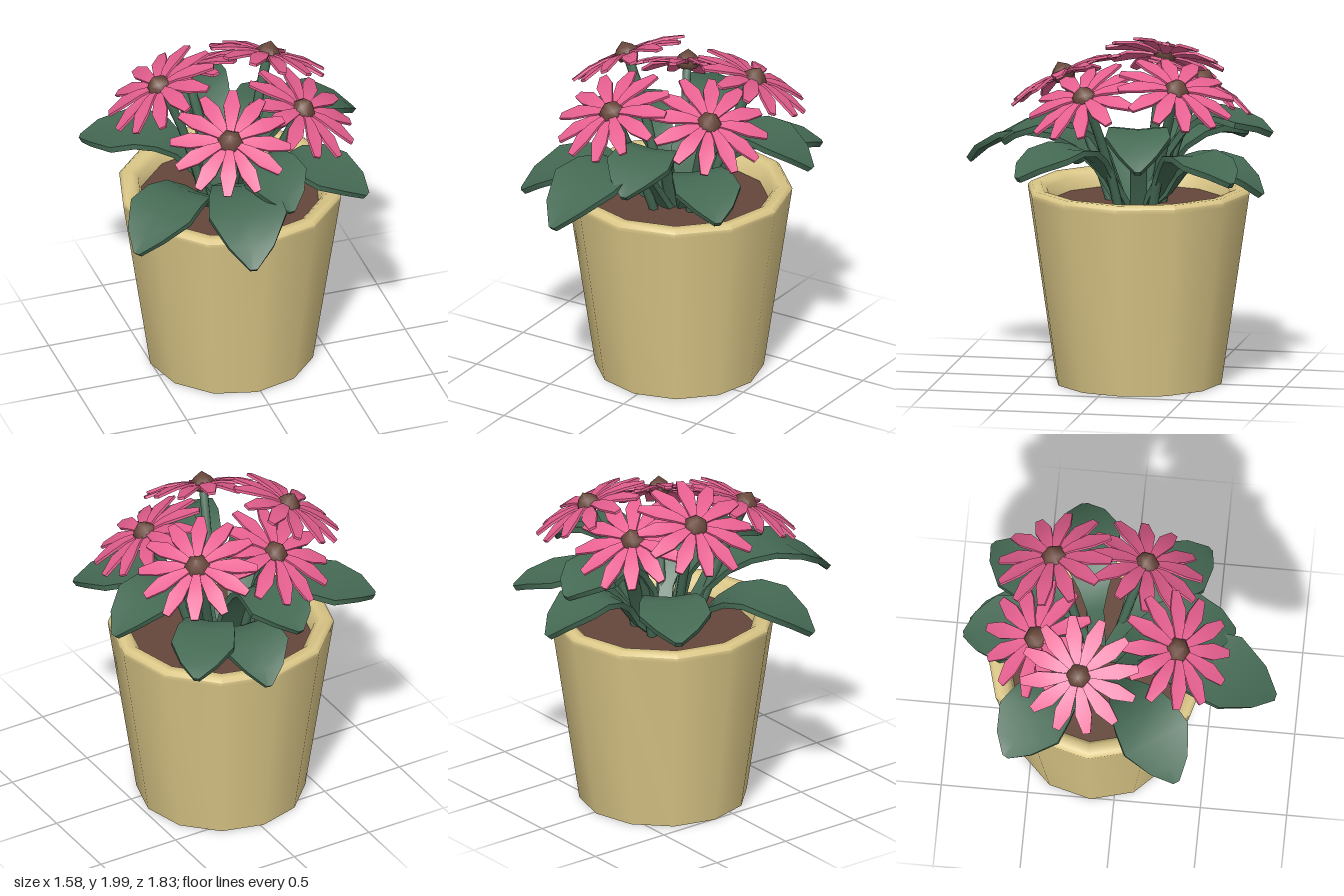
import * as THREE from 'three';
import { toCreasedNormals } from 'three/addons/utils/BufferGeometryUtils.js';

const mat = (name, color) => {
  const m = new THREE.MeshStandardMaterial({ color });
  m.name = name;
  return m;
};

const V = (x, y, z) => new THREE.Vector3(x, y, z);
const UP = V(0, 1, 0);
const CX = -0.02, CZ = -0.135; // pot axis

// Thick blade swept along a centre line, with a half width per station;
// fold lowers the midrib in proportion to the width
function blade(points, halfWidths, thickness, fold) {
  const pos = [], index = [], n = points.length;
  points.forEach((p, i) => {
    const t = points[Math.min(i + 1, n - 1)].clone().sub(points[Math.max(i - 1, 0)]).normalize();
    const side = UP.clone().cross(t).normalize();
    const up = t.clone().cross(side);
    for (const [s, u] of [[1, 1], [0, 1], [-1, 1], [-1, -1], [0, -1], [1, -1]]) {
      const lift = u * thickness / 2 - (s ? 0 : fold * halfWidths[i]);
      const c = p.clone().addScaledVector(side, s * halfWidths[i]).addScaledVector(up, lift);
      pos.push(c.x, c.y, c.z);
    }
  });
  for (let i = 0; i < n - 1; i++) {
    for (let k = 0; k < 6; k++) {
      const a = i * 6 + k, b = i * 6 + (k + 1) % 6;
      index.push(a, b, b + 6, a, b + 6, a + 6);
    }
  }
  const e = (n - 1) * 6;
  for (const [a, b] of [[0, 5], [5, 4], [4, 3], [3, 2]]) index.push(1, a, b, e + 1, e + b, e + a);
  const g = new THREE.BufferGeometry();
  g.setAttribute('position', new THREE.Float32BufferAttribute(pos, 3));
  g.setIndex(index);
  return toCreasedNormals(g, 0.7);
}

const lathe = (profile, sides, crease) => toCreasedNormals(
  new THREE.LatheGeometry(profile.map(([r, y]) => new THREE.Vector2(r, y)), sides), crease);

export function createModel() {
  const clay = mat('clay', 0xdcc888);
  const soilBrown = mat('soil brown', 0x65463b);
  const coneBrown = mat('flower centre brown', 0x6b4a3e);
  const green = mat('leaf green', 0x456a54);
  const pink = mat('petal pink', 0xe86091);

  const model = new THREE.Group();
  const add = (parent, name, geometry, material) => {
    const m = new THREE.Mesh(geometry, material);
    m.name = name;
    parent.add(m);
    return m;
  };

  // Twelve-sided pot with a rounded rim
  add(model, 'pot', lathe([[0, 0], [0.487, 0], [0.648, 1.1], [0.652, 1.128], [0.63, 1.15],
    [0.575, 1.147], [0.54, 1.115], [0.52, 1.03]], 12, 1.0), clay).position.set(CX, 0, CZ);

  const soil = add(model, 'soil', new THREE.CircleGeometry(0.53, 12), soilBrown);
  soil.rotation.x = -Math.PI / 2;
  soil.position.set(CX, 1.045, CZ);

  // Leaves: tip x, tip y, tip z, height of the arch, width scale, half width near the stalk
  const leaves = [
    [-0.23, 1.22, 0.90, 1.45, 1.05, 0.05],
    [-0.76, 1.12, 0.38, 1.32, 0.97, 0.05],
    [-0.77, 1.32, -0.60, 1.43, 0.97, 0.05],
    [-0.10, 1.46, -0.90, 1.58, 0.95, 0.12],
    [0.10, 1.14, -0.88, 1.33, 0.9, 0.05],
    [0.53, 1.28, -0.79, 1.40, 0.85, 0.05],
    [0.78, 1.38, -0.29, 1.57, 0.87, 0.05],
    [0.61, 1.28, 0.45, 1.42, 0.9, 0.04],
    [0.09, 1.39, 0.64, 1.54, 0.9, 0.03],
  ];
  const stations = [0, 0.15, 0.27, 0.4, 0.55, 0.72, 0.9, 1];
  const leafWidths = [0.02, 0.045, 0.1, 0.16, 0.195, 0.215, 0.125, 0.02];
  for (const [x, y, z, top, scale, heel] of leaves) {
    const heights = [1.03, top - 0.21, top - 0.09, top - 0.02, top, top - 0.03,
      y + (top - y) * 0.42, y];
    const line = stations.map((s, i) => {
      const f = 0.1 + 0.9 * s;
      return V(CX + (x - CX) * f, heights[i], CZ + (z - CZ) * f);
    });
    const widths = leafWidths.map((w, i) => (i < 4 ? Math.max(w * scale, heel) : w * scale));
    add(model, 'leaf', blade(line, widths, 0.035, 0.1), green);
  }

  // Petal along +z, and a pointed six-sided flower centre
  const petalGeometry = blade(
    [V(0, 0.005, 0.03), V(0, 0.012, 0.13), V(0, 0.004, 0.23), V(0, -0.028, 0.345)],
    [0.014, 0.034, 0.049, 0.022], 0.016, 0.05);
  const centreGeometry = lathe(
    [[0, -0.04], [0.055, -0.02], [0.076, 0.02], [0.05, 0.055], [0, 0.09]], 6, 1.2);

  // Flowers lean outwards from the pot axis: position and lean angle
  const flowers = [
    [-0.18, 1.74, 0.335, 0.5],
    [0.335, 1.71, 0.11, 0.52],
    [0.305, 1.77, -0.42, 0.47],
    [-0.18, 1.73, -0.475, 0.52],
    [-0.42, 1.83, -0.21, 0.52],
  ];
  flowers.forEach(([x, y, z, lean], f) => {
    const out = V(x - CX, 0, z - CZ).normalize();
    const normal = out.clone().multiplyScalar(Math.sin(lean)).addScaledVector(UP, Math.cos(lean));
    const flower = new THREE.Group();
    flower.name = 'flower';
    flower.position.set(x, y, z);
    flower.quaternion.setFromUnitVectors(UP, normal);
    for (let i = 0; i < 12; i++) {
      const petal = add(flower, 'petal', petalGeometry, pink);
      petal.rotation.y = (i / 12) * Math.PI * 2 + f * 0.4 + 0.15;
      petal.position.y = (i % 2) * 0.012;
    }
    add(flower, 'flowerCentre', centreGeometry, coneBrown);
    model.add(flower);

    // Stem from the soil to the underside of the flower
    const head = V(x, y, z).addScaledVector(normal, -0.015);
    const base = V(CX + (x - CX) * 0.35, 1.0, CZ + (z - CZ) * 0.35);
    const bend = head.clone().addScaledVector(normal, -0.3);
    const path = new THREE.QuadraticBezierCurve3(base, bend, head);
    add(model, 'stem', new THREE.TubeGeometry(path, 6, 0.028, 6), green);
  });

  return model;
}
